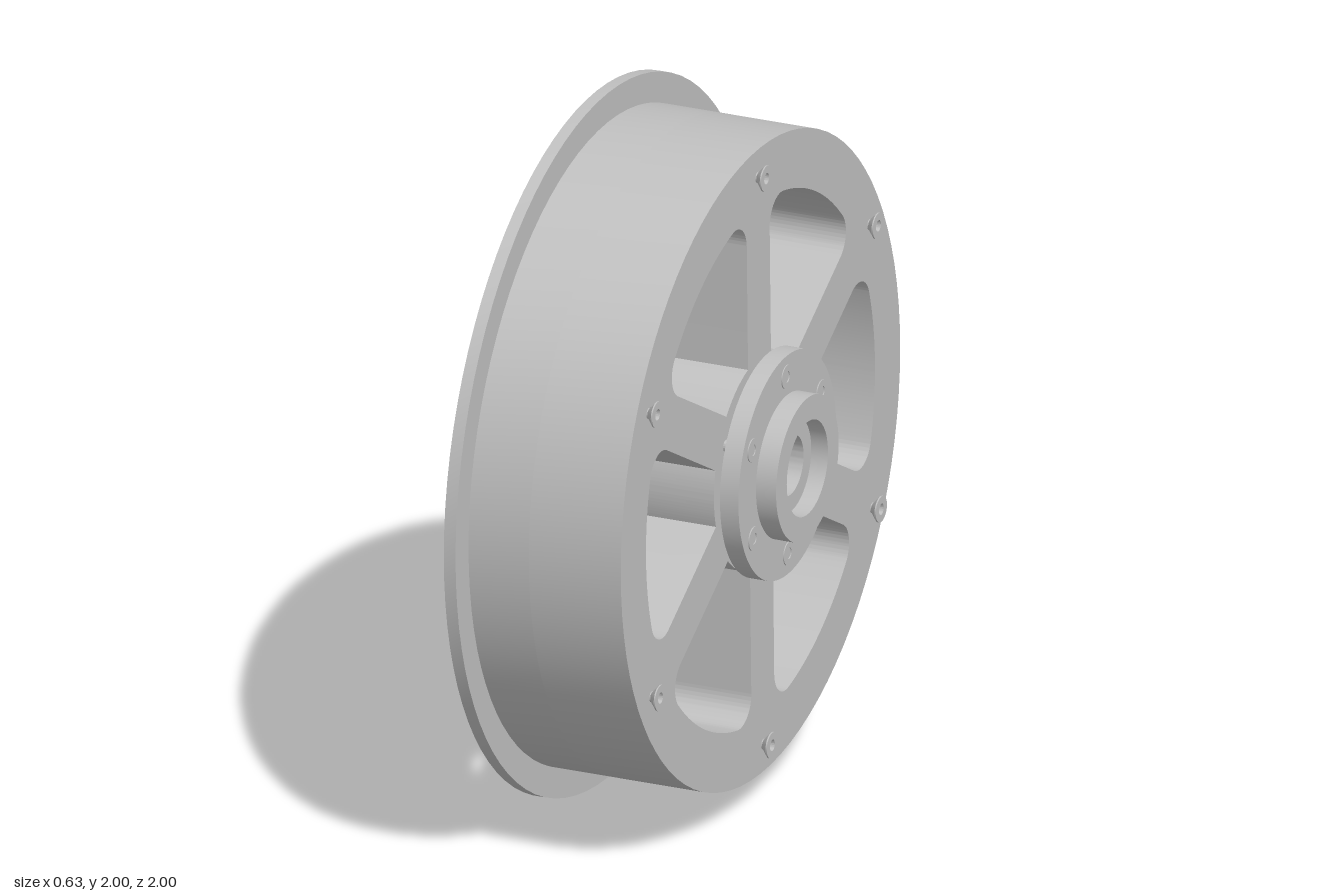
import * as THREE from 'three';
import { toCreasedNormals } from 'three/addons/utils/BufferGeometryUtils.js';

const TAU = Math.PI * 2;
const SPOKES = 6;
const SKEW = THREE.MathUtils.degToRad(1.3); // small turn of the whole spoke pattern
const OUTER = 0.915, BORE = 0.75, HUB_BORE = 0.18;
const spokeAngle = (i) => Math.PI / 2 + SKEW + (i * TAU) / SPOKES;

// Disc outline with an optional round hole
function disc(radius, hole) {
  const s = new THREE.Shape();
  s.absarc(0, 0, radius, 0, TAU, false);
  if (hole) s.holes.push(new THREE.Path().absarc(0, 0, hole, 0, TAU, true));
  return s;
}

// Opening between two neighbouring spokes, with rounded outer corners
function windowPath(a, b) {
  const w = 0.075, f = 0.075, inner = 0.305;
  const along = Math.sqrt((BORE - f) ** 2 - (w + f) ** 2);
  const lean = Math.atan2(w + f, along);
  const start = Math.asin(w / inner);
  const centre = (t) => [Math.cos(t) * (BORE - f), Math.sin(t) * (BORE - f)];
  const p = new THREE.Path();
  p.moveTo(Math.cos(a + start) * inner, Math.sin(a + start) * inner);
  p.absarc(...centre(a + lean), f, a - Math.PI / 2, a + lean, false);
  p.absarc(0, 0, BORE, a + lean, b - lean, false);
  p.absarc(...centre(b - lean), f, b - lean, b + Math.PI / 2, false);
  p.absarc(0, 0, inner, b - start, a + start, true);
  return p;
}

// Extrude an outline along x between two positions
function plate(shape, x0, x1) {
  const g = new THREE.ExtrudeGeometry(shape, { depth: x1 - x0, bevelEnabled: false, curveSegments: 44 });
  g.rotateY(Math.PI / 2).translate(x0, 0, 0);
  return toCreasedNormals(g, 0.5);
}

// Turn a profile of [radius, x] points about the x axis
function turned(profile, segments) {
  const g = new THREE.LatheGeometry(profile.map(([r, x]) => new THREE.Vector2(r, x)), segments);
  g.rotateZ(-Math.PI / 2);
  return toCreasedNormals(g, 0.6);
}

// Countersunk screw with a socket in its head
function screw(tail, neck, top, shank, head) {
  return turned([
    [0, tail], [shank, tail], [shank, neck], [head, top - 0.004], [head, top],
    [0.016, top], [0.016, top - 0.014], [0, top - 0.014],
  ], 20);
}

export function createModel() {
  const model = new THREE.Group();
  model.name = 'flangedWheel';
  const metal = new THREE.MeshStandardMaterial({ color: 0xc0c0c0 });
  metal.name = 'grey metal';

  const wheel = new THREE.Group();
  wheel.name = 'wheel';
  wheel.position.y = 1;
  model.add(wheel);

  const add = (name, geometry, parent = wheel) => {
    const m = new THREE.Mesh(geometry, metal);
    m.name = name;
    parent.add(m);
    return m;
  };

  // Rim: flange, open barrel and spoked web
  add('flange', plate(disc(1, BORE), -0.315, -0.28));
  add('barrel', plate(disc(OUTER, BORE), -0.28, -0.1));
  const web = disc(OUTER, HUB_BORE);
  for (let i = 0; i < SPOKES; i++) web.holes.push(windowPath(spokeAngle(i), spokeAngle(i + 1)));
  add('spokedWeb', plate(web, -0.1, 0.175));

  // Hub cap with a stepped collar and bearing recess
  add('hubCap', turned([
    [0.085, 0.2], [0.32, 0.2], [0.32, 0.255], [0.205, 0.255], [0.205, 0.315],
    [0.135, 0.315], [0.135, 0.265], [0.085, 0.265], [0.085, 0.2],
  ], 80));

  // Screws in the hub and around the rim, one of each per spoke
  const hubScrew = screw(-0.17, 0.235, 0.258, 0.017, 0.034);
  const rimScrew = screw(0.1, 0.178, 0.202, 0.015, 0.037);
  for (let i = 0; i < SPOKES; i++) {
    const a = spokeAngle(i);
    const place = (mesh, r) => mesh.position.set(0, Math.sin(a) * r, -Math.cos(a) * r);
    place(add('hubScrew', hubScrew), 0.26);
    place(add('rimScrew', rimScrew), 0.835);
  }
  return model;
}
